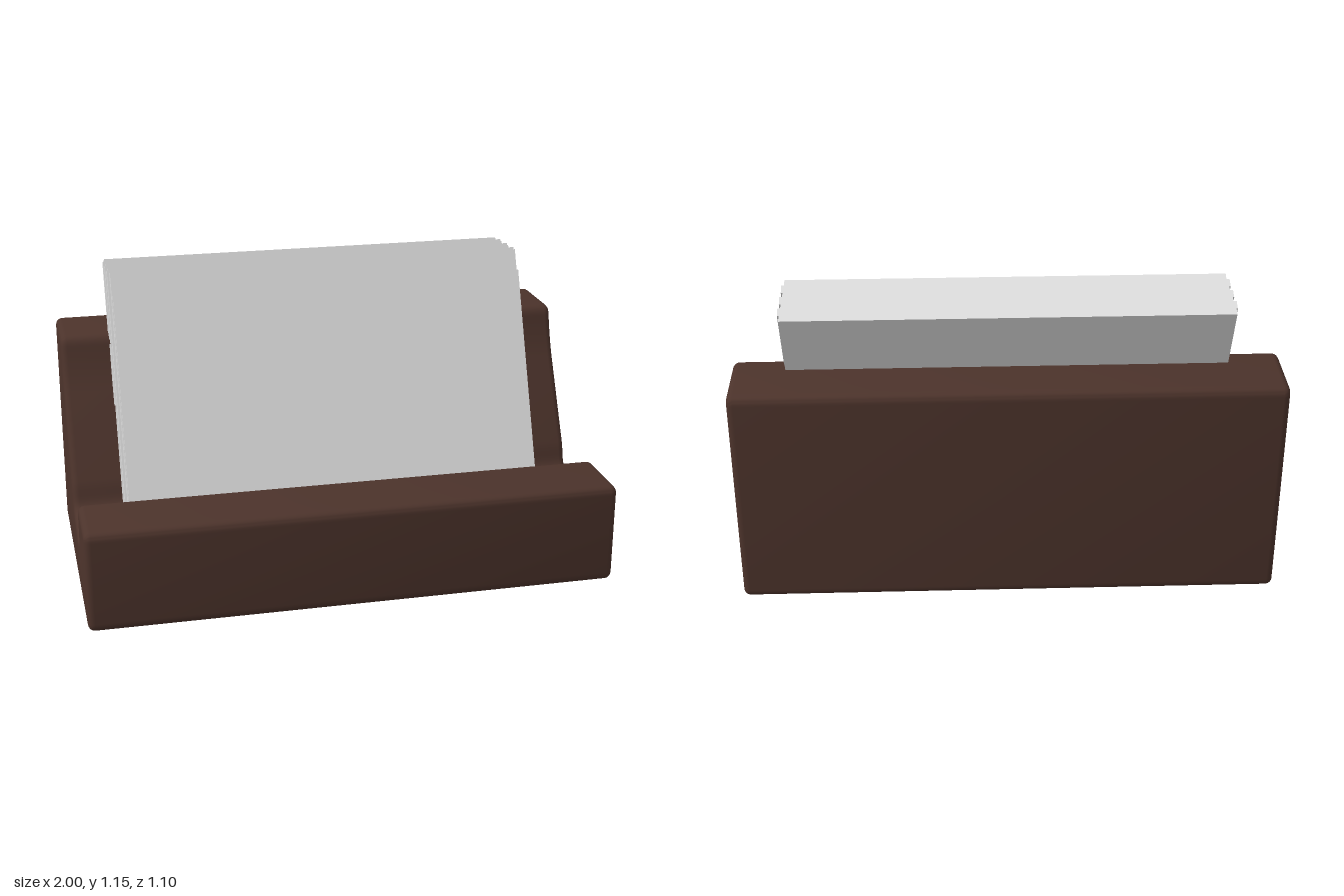
import * as THREE from 'three';
import { toCreasedNormals } from 'three/addons/utils/BufferGeometryUtils.js';

const LEAN = 0.385; // backward tilt of the cards

// Side outline of the holder: x runs towards the back, y up
function holderOutline() {
  const s = new THREE.Shape();
  const r = 0.035;
  s.moveTo(-0.55 + r, 0.015);
  s.lineTo(0.55 - r, 0.015);
  s.quadraticCurveTo(0.55, 0.015, 0.55, 0.015 + r);
  s.lineTo(0.55, 0.88 - r);
  s.quadraticCurveTo(0.55, 0.88, 0.55 - r, 0.88);
  s.lineTo(0.295, 0.88);
  s.bezierCurveTo(0.265, 0.88, 0.255, 0.86, 0.25, 0.835); // top of the back rest
  s.quadraticCurveTo(0.225, 0.74, 0.19, 0.675);
  s.lineTo(0.03, 0.37);
  s.bezierCurveTo(0.005, 0.32, 0.02, 0.275, -0.04, 0.262); // groove
  s.lineTo(-0.14, 0.232);
  s.bezierCurveTo(-0.21, 0.212, -0.258, 0.25, -0.26, 0.3);
  s.lineTo(-0.26, 0.403 - r);
  s.quadraticCurveTo(-0.26, 0.403, -0.26 - r, 0.403); // front lip
  s.lineTo(-0.55 + r, 0.403);
  s.quadraticCurveTo(-0.55, 0.403, -0.55, 0.403 - r);
  s.lineTo(-0.55, 0.015 + r);
  s.quadraticCurveTo(-0.55, 0.015, -0.55 + r, 0.015);
  return s;
}

export function createModel() {
  const model = new THREE.Group();
  model.name = 'cardHolder';
  const brown = new THREE.MeshStandardMaterial({ name: 'darkBrown', color: 0x4c332b });
  const white = new THREE.MeshStandardMaterial({ name: 'cardWhite', color: 0xdedede });

  // Holder body with softly rounded ends
  const bevel = 0.025;
  const body = new THREE.ExtrudeGeometry(holderOutline(), {
    depth: 2 - 2 * bevel, curveSegments: 8,
    bevelEnabled: true, bevelSize: bevel, bevelThickness: bevel, bevelOffset: -bevel, bevelSegments: 4,
  });
  body.translate(0, 0, -1 + bevel);
  body.rotateY(Math.PI / 2);
  const holder = new THREE.Mesh(toCreasedNormals(body, 0.7), brown);
  holder.name = 'holder';
  model.add(holder);

  // Leaning stack of cards, starting from the front face
  const stack = new THREE.Group();
  stack.name = 'cardStack';
  stack.position.set(0, 0.24, 0.23);
  stack.rotation.x = -LEAN;
  model.add(stack);

  function addCard(depth, thickness, topY, halfWidth) {
    const length = (topY - 0.24 + Math.sin(LEAN) * depth) / Math.cos(LEAN);
    const card = new THREE.Mesh(new THREE.BoxGeometry(halfWidth * 2, length, thickness), white);
    card.position.set(0, length / 2, -depth - thickness / 2);
    card.name = 'card' + (stack.children.length + 1);
    stack.add(card);
  }

  addCard(0, 0.015, 1.085, 0.802); // short front card
  const count = 7, first = 0.025, pitch = 0.039;
  for (let i = 0; i < count; i++) {
    addCard(first + i * pitch, pitch - 0.004, 1.153 - 0.002 * i, i % 2 ? 0.812 : 0.804);
  }

  // Card edges showing under the base
  for (let i = 0; i < 3; i++) {
    const edge = new THREE.Mesh(new THREE.BoxGeometry(1.6, 0.02, 0.027), white);
    edge.position.set(0, i === 1 ? 0.018 : 0.012, 0.15 + i * 0.033);
    edge.name = 'undersideCardEdge' + (i + 1);
    model.add(edge);
  }

  return model;
}
